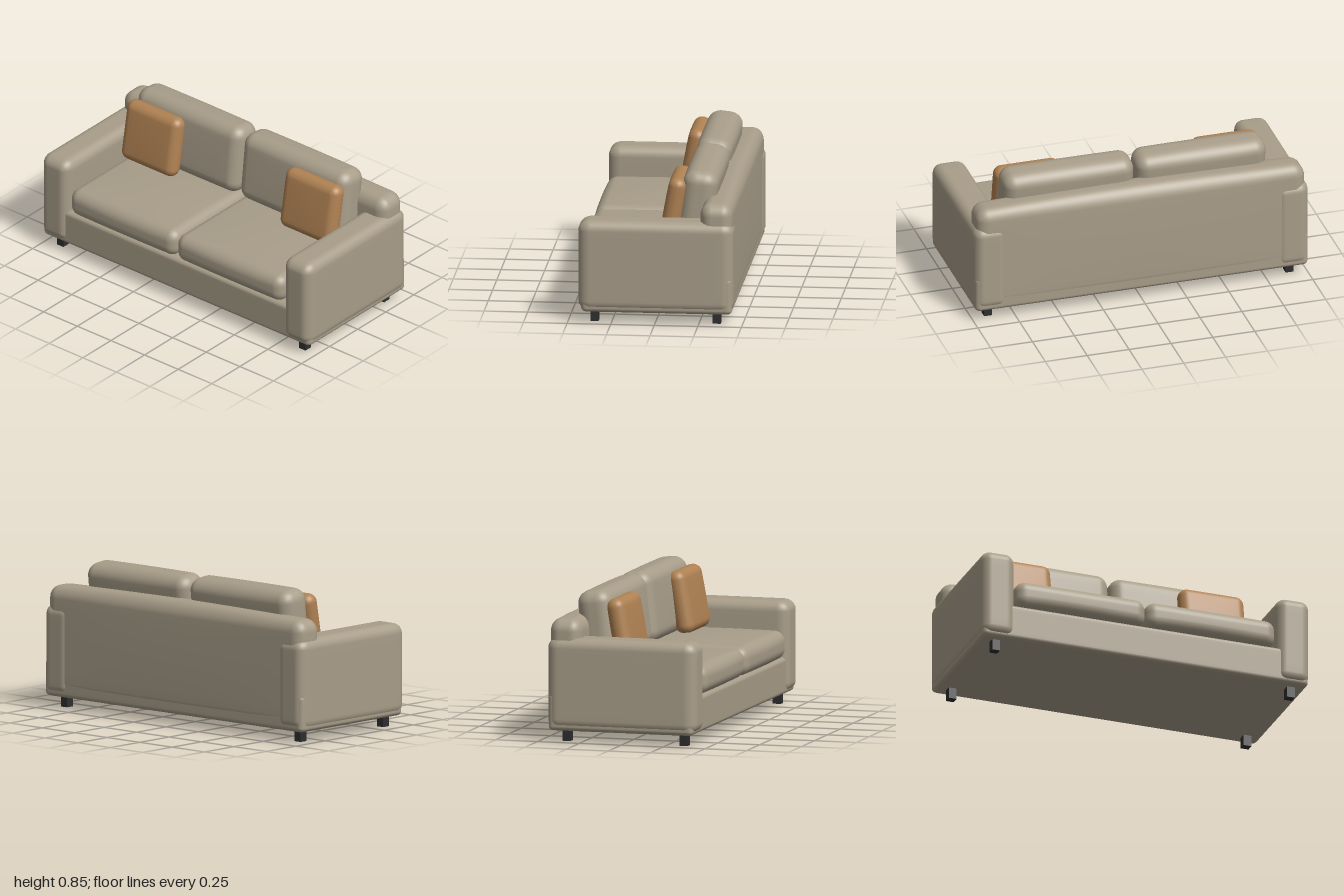
import * as THREE from 'three';
import { mergeVertices } from 'three/addons/utils/BufferGeometryUtils.js';

// Upholstered block: box with a separate corner radius per axis and bulging faces
function softBox(size, radius, bulge = [0, 0, 0]) {
  const geo = new THREE.BoxGeometry(2, 2, 2, 18, 18, 18);
  geo.deleteAttribute('normal');
  geo.deleteAttribute('uv');
  const merged = mergeVertices(geo, 1e-4);
  const pos = merged.attributes.position;
  const flat = 5 / 9; // share of the grid used for the flat middle
  for (let i = 0; i < pos.count; i++) {
    const u = [pos.getX(i), pos.getY(i), pos.getZ(i)];
    const inner = [], dir = new THREE.Vector3();
    u.forEach((c, k) => {
      const core = size[k] / 2 - radius[k];
      const a = Math.abs(c), s = Math.sign(c);
      inner[k] = s * core * Math.min(a / flat, 1);
      const t = Math.max(0, (a - flat) / (1 - flat));
      dir.setComponent(k, s * Math.tan(t * Math.PI / 4));
    });
    dir.normalize();
    const p = inner.map((c, k) => c + dir.getComponent(k) * radius[k]);
    const n = p.map((c, k) => c / (size[k] / 2));
    const q = p.map((c, k) => {
      const a = n[(k + 1) % 3], b = n[(k + 2) % 3];
      return c + bulge[k] * n[k] * (1 - a * a) * (1 - b * b);
    });
    pos.setXYZ(i, q[0], q[1], q[2]);
  }
  merged.computeVertexNormals();
  return merged;
}

export function createModel() {
  const fabric = new THREE.MeshStandardMaterial({ color: 0xa89d89 });
  fabric.name = 'beige fabric';
  const tan = new THREE.MeshStandardMaterial({ color: 0xb08253 });
  tan.name = 'tan fabric';
  const dark = new THREE.MeshStandardMaterial({ color: 0x2e2e2e });
  dark.name = 'dark leg';

  const sofa = new THREE.Group();
  sofa.name = 'sofa';
  const add = (name, geo, mat, x, y, z, tilt = 0) => {
    const mesh = new THREE.Mesh(geo, mat);
    mesh.name = name;
    mesh.position.set(x, y, z);
    mesh.rotation.x = tilt;
    sofa.add(mesh);
  };

  // Frame
  add('base', softBox([1.985, 0.215, 0.865], [0.03, 0.025, 0.03]), fabric, 0, 0.1725, -0.01);
  add('backrest', softBox([1.96, 0.625, 0.185], [0.07, 0.07, 0.06], [0, 0.015, 0.006]),
    fabric, 0, 0.393, -0.35);

  // Parts that repeat on both sides
  const arm = softBox([0.2, 0.53, 0.89], [0.055, 0.06, 0.07]);
  const seat = softBox([0.79, 0.165, 0.7], [0.06, 0.06, 0.06], [0, 0.016, 0.008]);
  const backCushion = softBox([0.78, 0.415, 0.2], [0.07, 0.07, 0.075], [0, 0.004, 0.006]);
  const pillow = softBox([0.395, 0.365, 0.105], [0.05, 0.05, 0.05], [0, 0, 0.006]);
  const leg = new THREE.BoxGeometry(0.048, 0.08, 0.048);

  for (const [side, s] of [['left', 1], ['right', -1]]) {
    add(side + ' arm', arm, fabric, s * 0.9, 0.335, -0.005);
    add(side + ' seat cushion', seat, fabric, s * 0.396, 0.359, 0.088);
    add(side + ' back cushion', backCushion, fabric, s * 0.395, 0.64, -0.225, -0.114);
    add(side + ' throw pillow', pillow, tan, s * 0.59, 0.626, -0.086, -0.18);
    add(side + ' front leg', leg, dark, s * 0.9, 0.04, 0.35);
    add(side + ' back leg', leg, dark, s * 0.9, 0.04, -0.35);
  }
  return sofa;
}
